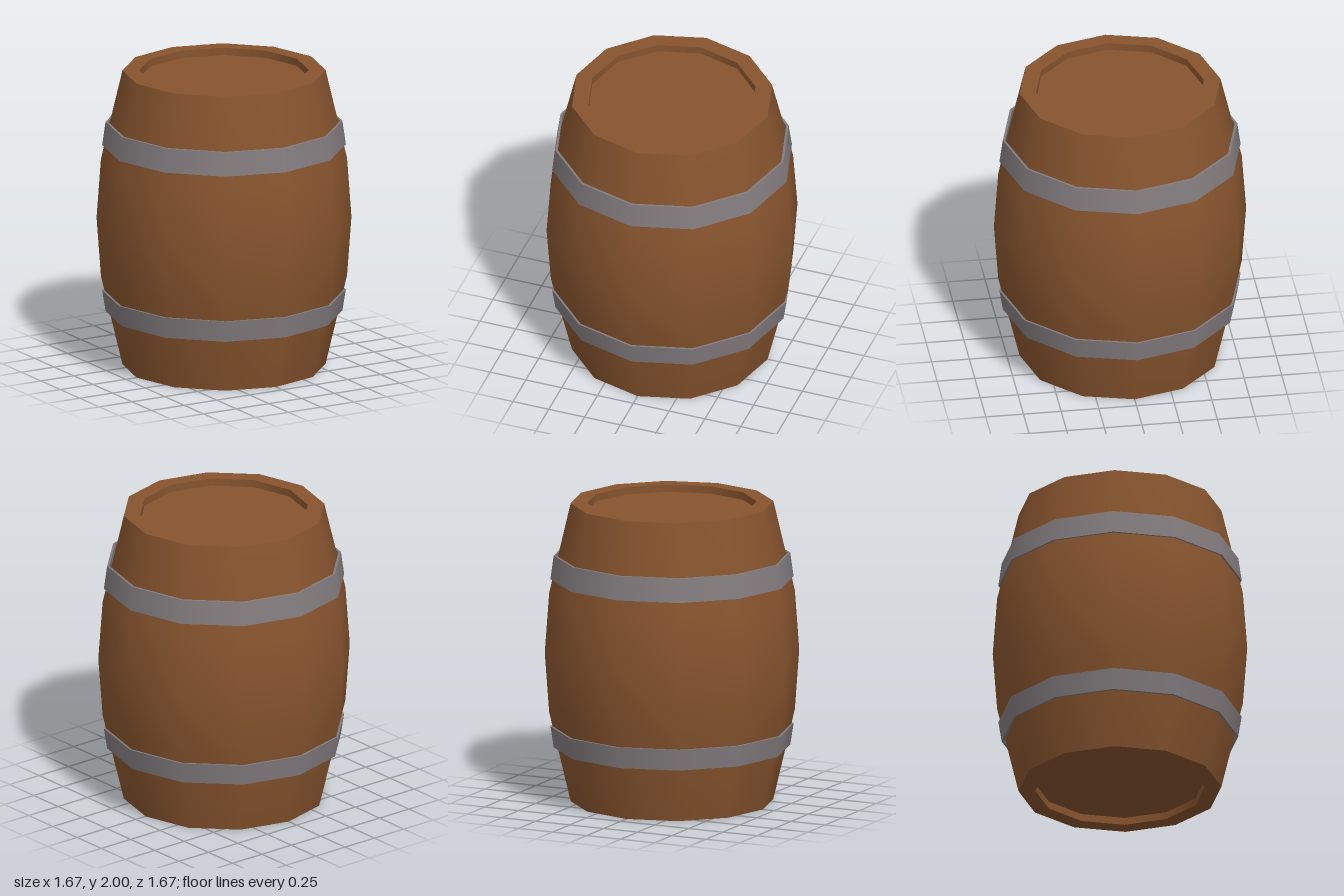
import * as THREE from 'three';

const SIDES = 12;

export function createModel() {
  const wood = new THREE.MeshStandardMaterial({ color: 0x87542e });
  wood.name = 'brown wood';
  const iron = new THREE.MeshStandardMaterial({ color: 0x837c7e });
  iron.name = 'grey iron';

  const barrel = new THREE.Group();
  barrel.name = 'barrel';

  // Revolve a profile of [radius, height] points around the barrel axis
  function turn(name, profile, material, parent) {
    const points = profile.map(([r, y]) => new THREE.Vector2(r, y));
    const mesh = new THREE.Mesh(new THREE.LatheGeometry(points, SIDES), material);
    mesh.name = name;
    parent.add(mesh);
  }

  // Bulging staves
  turn('staves', [[0.667, 0], [0.808, 0.6], [0.837, 1], [0.808, 1.4], [0.667, 2]], wood, barrel);

  // Rim, recess wall and sunken lid; each is its own surface so edges stay sharp
  const outer = 0.667, inner = 0.557, depth = 0.05;
  turn('topRim', [[outer, 2], [inner, 2]], wood, barrel);
  turn('topRecessWall', [[inner, 2], [inner, 2 - depth]], wood, barrel);
  turn('topLid', [[inner, 2 - depth], [0, 2 - depth]], wood, barrel);
  turn('bottomLid', [[0, depth], [inner, depth]], wood, barrel);
  turn('bottomRecessWall', [[inner, depth], [inner, 0]], wood, barrel);
  turn('bottomRim', [[inner, 0], [outer, 0]], wood, barrel);

  // Tapered iron hoops with a closed rectangular section
  function hoop(name, y0, r0, y1, r1) {
    const group = new THREE.Group();
    group.name = name;
    const t = 0.016;
    const section = [[r0 - t, y0], [r0, y0], [r1, y1], [r1 - t, y1]];
    ['bottomEdge', 'outerFace', 'topEdge', 'innerFace'].forEach((face, i) =>
      turn(face, [section[i], section[(i + 1) % 4]], iron, group));
    barrel.add(group);
  }
  hoop('lowerHoop', 0.363, 0.778, 0.505, 0.8);
  hoop('upperHoop', 1.493, 0.8, 1.652, 0.778);

  return barrel;
}
